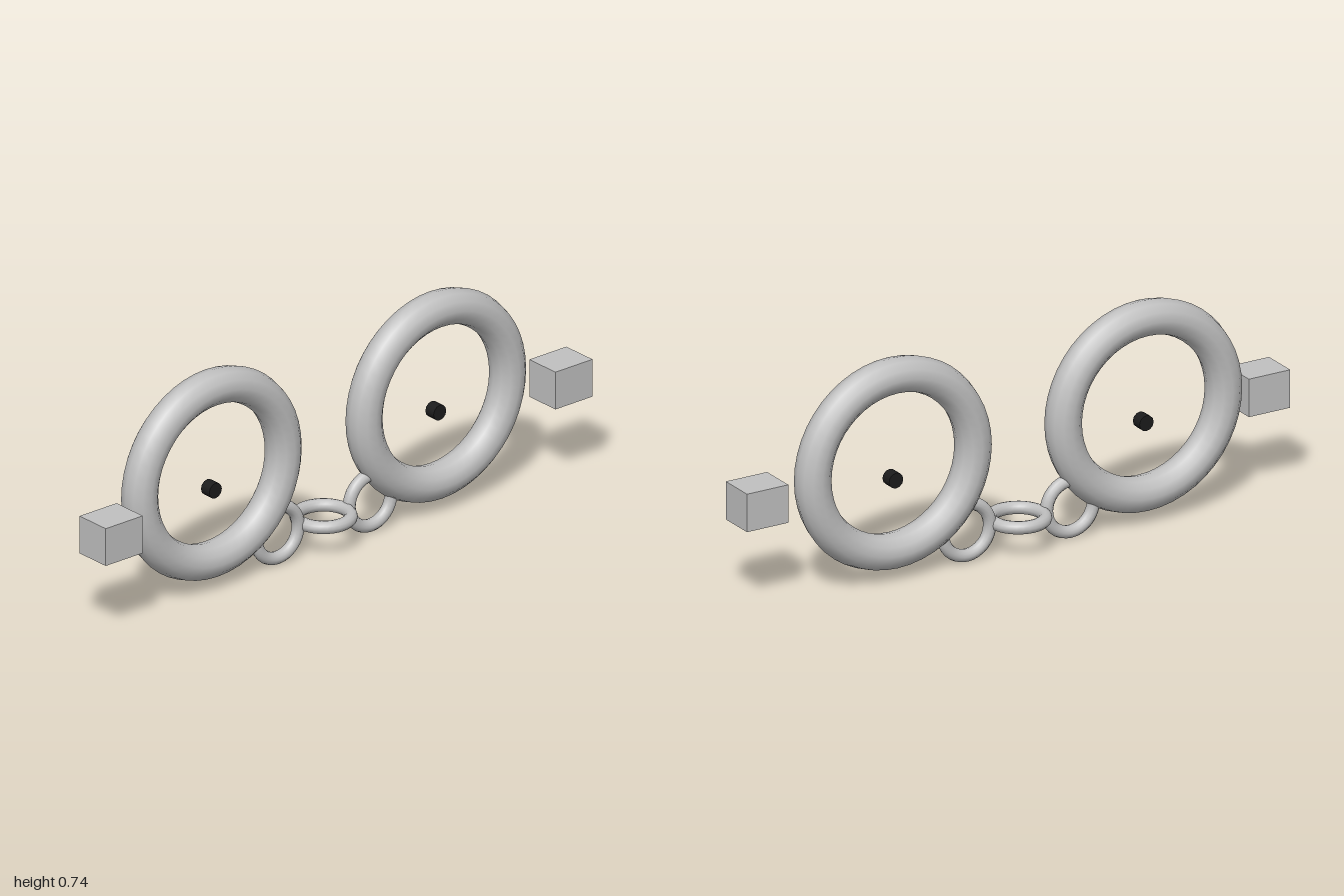
import * as THREE from 'three';

const steel = new THREE.MeshStandardMaterial({ color: 0xc0c0c0 });
steel.name = 'steel grey';
const black = new THREE.MeshStandardMaterial({ color: 0x1c1c1c });
black.name = 'black';

const MID_Z = -0.007; // plane shared by the rings

function addMesh(parent, name, geometry, material, x, y, z) {
  const mesh = new THREE.Mesh(geometry, material);
  mesh.name = name;
  mesh.position.set(x, y, z);
  parent.add(mesh);
  return mesh;
}

export function createModel() {
  const model = new THREE.Group();
  model.name = 'handcuffs';

  const cuff = new THREE.TorusGeometry(0.295, 0.059, 12, 48);
  const link = new THREE.TorusGeometry(0.0865, 0.021, 12, 32);
  const lock = new THREE.BoxGeometry(0.152, 0.128, 0.127);
  const keyhole = new THREE.CylinderGeometry(0.026, 0.026, 0.04, 12).rotateX(Math.PI / 2);

  // Mirrored cuff, lock block, keyhole pin and upright chain link
  for (const [side, s] of [['left', 1], ['right', -1]]) {
    addMesh(model, side + 'Cuff', cuff, steel, s * 0.461, 0.391, MID_Z);
    addMesh(model, side + 'Lock', lock, steel, s * 0.924, 0.335, 0.053);
    addMesh(model, side + 'Keyhole', keyhole, black, s * 0.461, 0.337, MID_Z);
    addMesh(model, side + 'ChainLink', link, steel, s * 0.191, 0.109, MID_Z);
  }

  // Flat middle link joining both sides
  addMesh(model, 'middleChainLink', link, steel, 0, 0.109, MID_Z).rotation.x = Math.PI / 2;

  return model;
}
